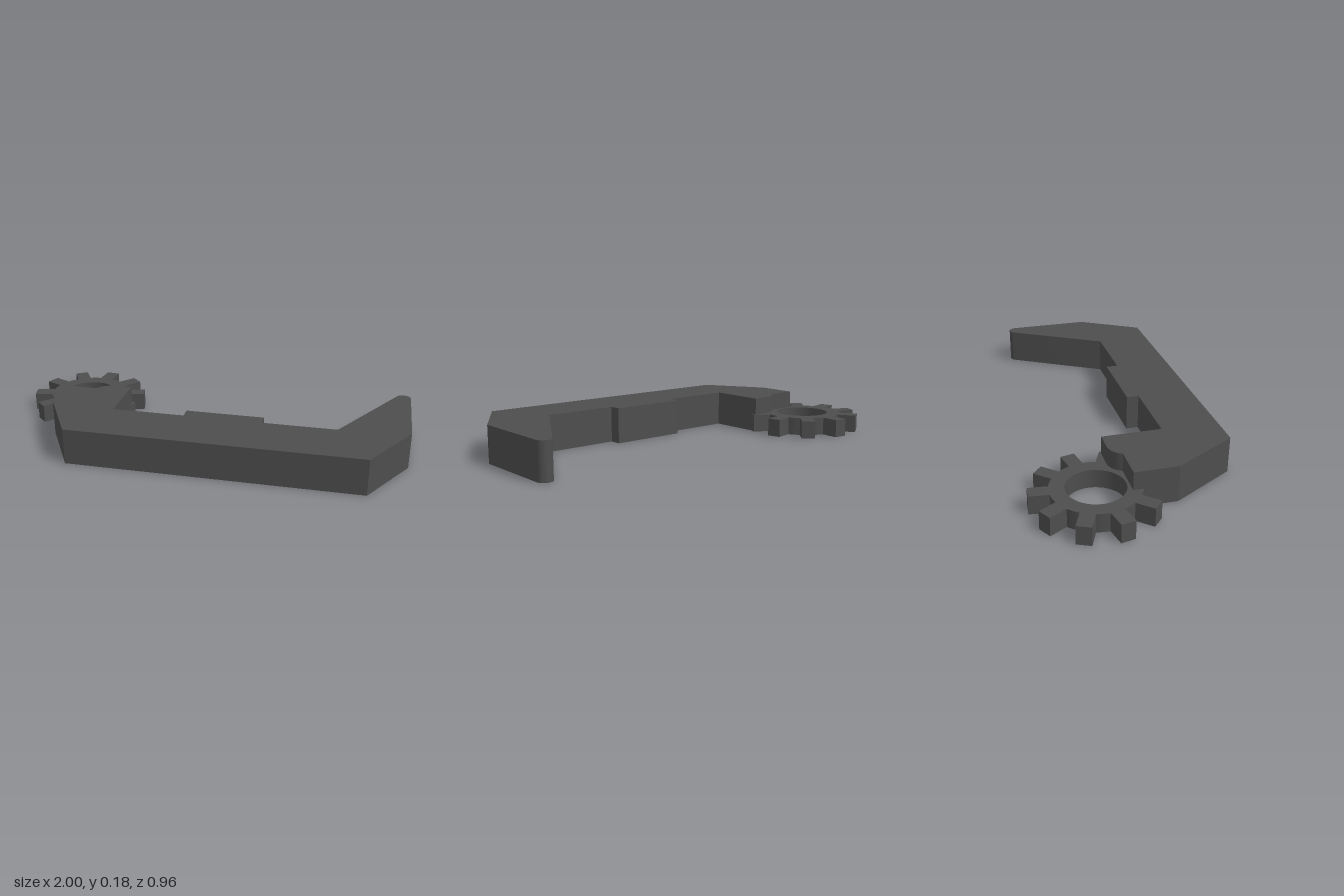
import * as THREE from 'three';
import { toCreasedNormals } from 'three/addons/utils/BufferGeometryUtils.js';

const material = new THREE.MeshStandardMaterial({ color: 0x4d4d4d });

// Extrudes a plan shape (x, -z) upward from the ground
function slab(name, shape, height) {
  const geometry = new THREE.ExtrudeGeometry(shape, { depth: height, bevelEnabled: false, curveSegments: 24 });
  geometry.rotateX(-Math.PI / 2);
  const mesh = new THREE.Mesh(toCreasedNormals(geometry, 0.5), material);
  mesh.name = name;
  return mesh;
}

// Bracket plan: bar with chamfered corners, inner tab, pointed arm and gear arm
function bracketShape() {
  const s = new THREE.Shape();
  s.moveTo(-0.595, -0.475);
  s.lineTo(0.82, -0.475);
  s.lineTo(1, -0.17);
  // rounded tip of the pointed arm
  s.lineTo(1, 0.248);
  s.absarc(0.963, 0.248, 0.037, 0, Math.PI * 5 / 6, false);
  // inner edge with the tab
  s.lineTo(0.663, -0.2);
  s.lineTo(0.305, -0.2);
  s.lineTo(0.305, -0.14);
  s.lineTo(-0.08, -0.14);
  s.lineTo(-0.08, -0.2);
  s.lineTo(-0.437, -0.2);
  // end of the gear arm, stepped beside the hole
  s.lineTo(-0.437, 0.09);
  s.lineTo(-0.54, 0.09);
  s.quadraticCurveTo(-0.59, 0.08, -0.61, 0.037);
  s.lineTo(-0.77, 0.037);
  s.lineTo(-0.77, -0.17);
  s.closePath();
  return s;
}

// Gear plan: ten straight teeth around a ring
function gearShape() {
  const teeth = 10, root = 0.205, tip = 0.295, half = 0.034, phase = THREE.MathUtils.degToRad(84);
  const step = Math.PI * 2 / teeth;
  const rootAngle = Math.asin(half / root);
  const s = new THREE.Shape();
  for (let i = 0; i < teeth; i++) {
    const a = phase + i * step;
    const at = (r, w) => [r * Math.cos(a) - w * Math.sin(a), r * Math.sin(a) + w * Math.cos(a)];
    if (i === 0) s.moveTo(...at(tip, -half));
    else s.lineTo(...at(tip, -half));
    s.lineTo(...at(tip, half));
    s.absarc(0, 0, root, a + rootAngle, a + step - rootAngle, false);
  }
  s.closePath();
  s.holes.push(new THREE.Path().absarc(0, 0, 0.135, 0, Math.PI * 2, true));
  return s;
}

export function createModel() {
  const model = new THREE.Group();
  model.name = 'gearBracket';
  const gear = slab('gear', gearShape(), 0.09);
  gear.position.set(-0.703, 0, -0.184);
  model.add(slab('bracket', bracketShape(), 0.178), gear);
  return model;
}
